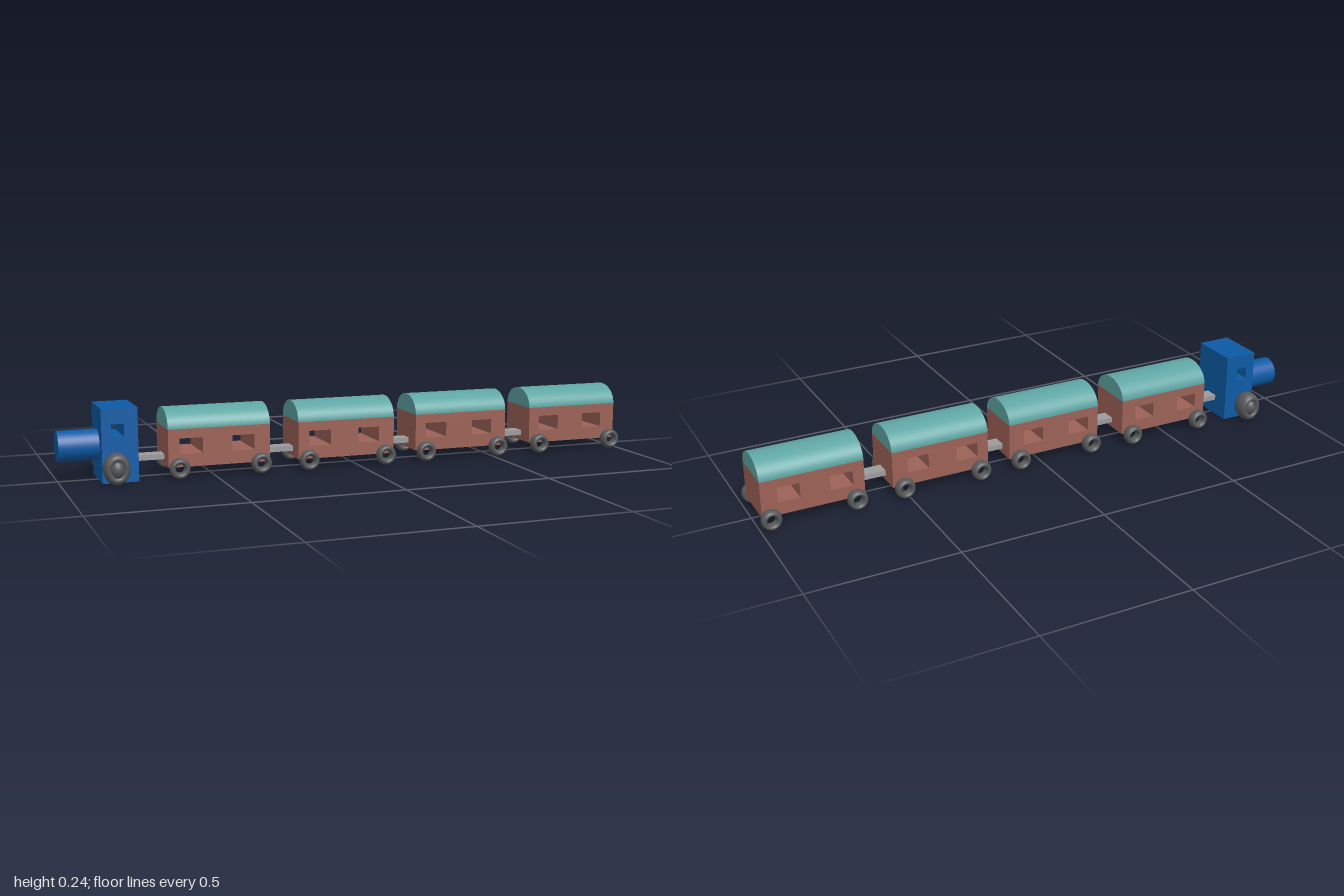
import * as THREE from 'three';

const mat = (color) => new THREE.MeshStandardMaterial({ color });
const blue = mat(0x0d5ba6), brown = mat(0x9c6257), teal = mat(0x5fa6a4), dark = mat(0x56585a), steel = mat(0x9c9c9c);

function add(parent, name, geometry, material, x = 0, y = 0, z = 0) {
  const mesh = new THREE.Mesh(geometry, material);
  mesh.name = name;
  mesh.position.set(x, y, z);
  parent.add(mesh);
  return mesh;
}

// Block with window tunnels running through it along z; rectangles are [x0, y0, x1, y1]
function windowedBlock([x0, y0, x1, y1], windows, halfDepth) {
  const rect = (p, a, b, c, d) => p.moveTo(a, b).lineTo(c, b).lineTo(c, d).lineTo(a, d).closePath();
  const shape = rect(new THREE.Shape(), x0, y0, x1, y1);
  for (const w of windows) shape.holes.push(rect(new THREE.Path(), ...w));
  return new THREE.ExtrudeGeometry(shape, { depth: halfDepth * 2, bevelEnabled: false }).translate(0, 0, -halfDepth);
}

const LENGTH = 0.342, HALF = 0.085;

// Half-ellipse roof running along x
function roofGeometry() {
  const shape = new THREE.Shape();
  shape.moveTo(HALF, 0);
  shape.absellipse(0, 0, HALF, 0.063, 0, Math.PI, false, 0);
  shape.closePath();
  return new THREE.ExtrudeGeometry(shape, { depth: LENGTH, bevelEnabled: false, curveSegments: 32 })
    .rotateY(Math.PI / 2);
}

function createCarriage(x, z, wheelXs) {
  const car = new THREE.Group();
  car.name = 'carriage';
  car.position.set(x, 0, z);
  const windows = [[0.038, 0.08, 0.115, 0.131], [0.214, 0.08, 0.288, 0.131]];
  add(car, 'carriageBody', windowedBlock([0, 0.037, LENGTH, 0.162], windows, HALF), brown);
  add(car, 'carriageRoof', roofGeometry(), teal, 0, 0.162, 0);
  // Open ring wheels, widened along the axle
  const ring = new THREE.TorusGeometry(0.024, 0.01, 16, 32).scale(1, 1, 1.8);
  for (const wx of wheelXs)
    for (const side of [-1, 1]) add(car, 'carriageWheel', ring, dark, wx, 0.036, side * 0.102);
  return car;
}

function createEngine() {
  const engine = new THREE.Group();
  engine.name = 'engine';
  add(engine, 'cab', windowedBlock([-0.87, 0, -0.753, 0.241], [[-0.838, 0.148, -0.798, 0.19]], HALF), blue);
  add(engine, 'boiler', new THREE.CylinderGeometry(0.05, 0.05, 0.14, 32).rotateZ(Math.PI / 2), blue, -0.93, 0.115, 0);
  // Tall oval tyres with a bulging hub
  const tyre = new THREE.TorusGeometry(0.035, 0.017, 16, 32).scale(0.82, 1, 1.8);
  const hub = new THREE.SphereGeometry(1, 24, 16).scale(0.027, 0.036, 0.038);
  for (const side of [-1, 1]) {
    add(engine, 'engineTyre', tyre, dark, -0.83, 0.052, side * 0.116);
    add(engine, 'engineHub', hub, dark, -0.83, 0.052, side * 0.116);
  }
  return engine;
}

export function createModel() {
  const train = new THREE.Group();
  train.name = 'train';
  train.add(createEngine());

  // Carriages: start x, sideways offset, rear wheel position
  const cars = [[-0.657, 0, 0.307], [-0.219, 0.008, 0.307], [0.208, 0, 0.307], [0.646, 0, 0.318]];
  let previousEnd = -0.753;
  for (const [x, z, rear] of cars) {
    train.add(createCarriage(x, z, [0.033, rear]));
    // Flat bar joining this carriage to the one ahead
    const gap = x - previousEnd;
    add(train, 'coupler', new THREE.BoxGeometry(gap + 0.01, 0.018, 0.048), steel, previousEnd + gap / 2, 0.064, z);
    previousEnd = x + LENGTH;
  }
  return train;
}
